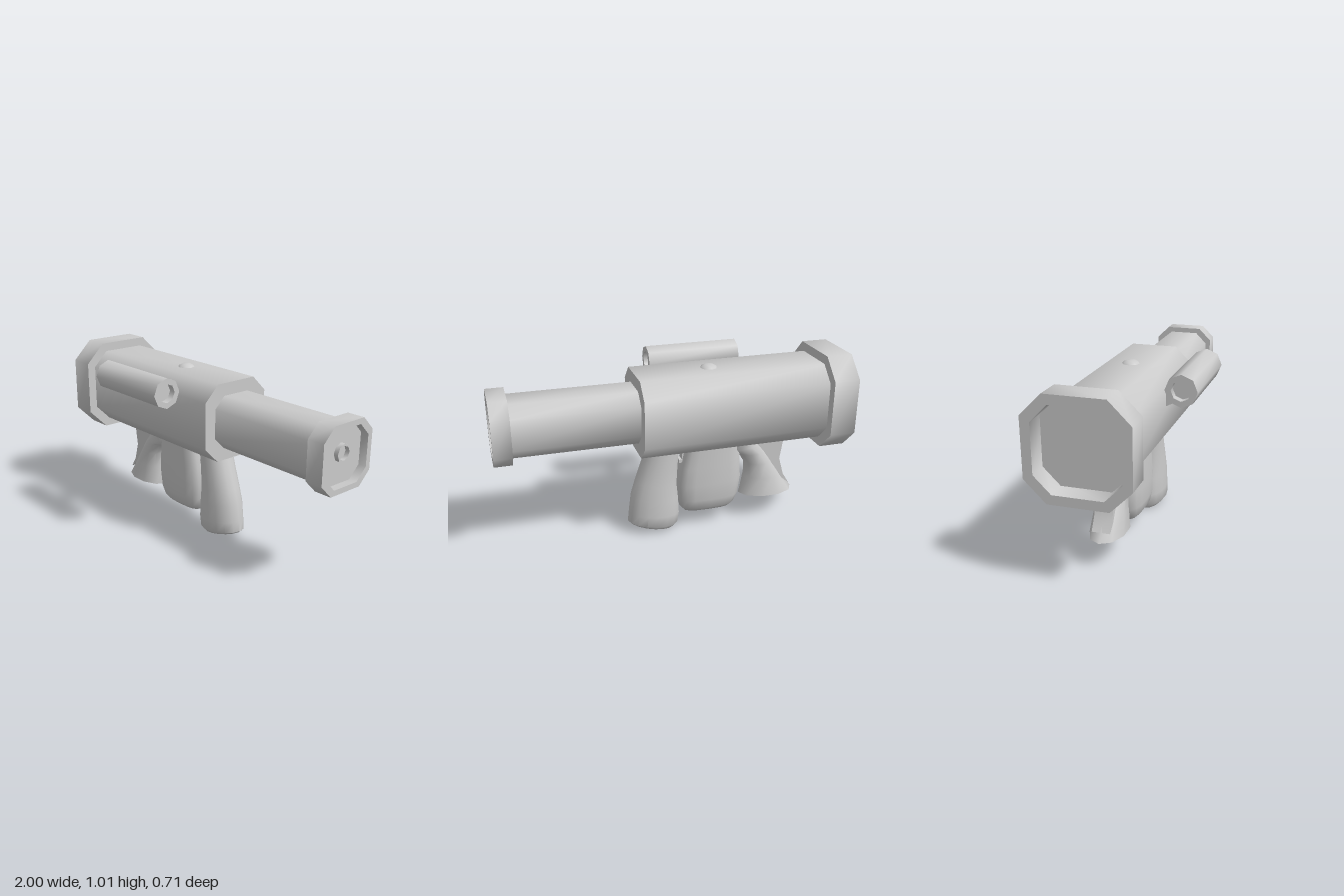
import * as THREE from 'three';
import { toCreasedNormals } from 'three/addons/utils/BufferGeometryUtils.js';

const AXIS_Y = 0.741, AXIS_Z = -0.083, CREASE = 0.9;
const material = new THREE.MeshStandardMaterial({ color: 0xcccccc });

// Chamfered square: half width h, half length of the flat sides f
const octagon = (h, f) => [[h, -f], [h, f], [f, h], [-f, h], [-h, f], [-h, -f], [-f, -h], [f, -h]]
  .map(([x, y]) => new THREE.Vector2(x, y));

// Regular eight-sided outline with corners on the axes
const round = (r) => Array.from({ length: 8 }, (_, i) =>
  new THREE.Vector2(r * Math.cos(i * Math.PI / 4), r * Math.sin(i * Math.PI / 4)));

// Outline (drawn in -z, y) extruded along x from x0 to x1
function extrudeX(outline, hole, x0, x1) {
  const shape = new THREE.Shape(outline);
  if (hole) shape.holes.push(new THREE.Path(hole));
  const geo = new THREE.ExtrudeGeometry(shape, { depth: x1 - x0, bevelEnabled: false });
  geo.rotateY(Math.PI / 2).translate(x0, 0, 0);
  return toCreasedNormals(geo, CREASE);
}

// Rings from bottom to top: [leftX, leftY, rightX, rightY, half depth]
function loft(rings, sides, power = 1) {
  const pos = [], index = [];
  const bend = (v) => Math.sign(v) * Math.pow(Math.abs(v), power);
  for (const [lx, ly, rx, ry, hz] of rings) {
    for (let j = 0; j < sides; j++) {
      const a = (j / sides) * Math.PI * 2;
      const c = bend(Math.cos(a)) / 2, s = bend(Math.sin(a));
      pos.push((lx + rx) / 2 + c * (rx - lx), (ly + ry) / 2 + c * (ry - ly), AXIS_Z + s * hz);
    }
  }
  for (let i = 0; i < rings.length - 1; i++) {
    for (let j = 0; j < sides; j++) {
      const a = i * sides + j, b = i * sides + (j + 1) % sides;
      index.push(a, a + sides, b, b, a + sides, b + sides);
    }
  }
  // End caps
  const top = (rings.length - 1) * sides;
  for (let j = 1; j < sides - 1; j++) {
    index.push(0, j, j + 1, top, top + j + 1, top + j);
  }
  const geo = new THREE.BufferGeometry();
  geo.setAttribute('position', new THREE.Float32BufferAttribute(pos, 3));
  geo.setIndex(index);
  return toCreasedNormals(geo, CREASE);
}

export function createModel() {
  const group = new THREE.Group();
  const add = (name, geo, x = 0, y = 0, z = 0) => {
    const mesh = new THREE.Mesh(geo, material);
    mesh.name = name;
    mesh.position.set(x, y, z);
    group.add(mesh);
  };

  // Tube sections, with recessed openings at both ends
  const body = octagon(0.221, 0.131), barrel = octagon(0.15, 0.085);
  add('rearCollar', extrudeX(octagon(0.272, 0.157), body, -1, -0.85), 0, AXIS_Y, AXIS_Z);
  add('body', extrudeX(body, null, -0.89, 0.215), 0, AXIS_Y, AXIS_Z);
  add('barrel', extrudeX(barrel, null, 0.2, 0.955), 0, AXIS_Y, AXIS_Z);
  add('muzzleCollar', extrudeX(octagon(0.18, 0.107), barrel, 0.9, 1), 0, AXIS_Y, AXIS_Z);
  add('nozzle', extrudeX(round(0.05), round(0.038), 0.95, 0.98), 0, 0.756, AXIS_Z);

  // Button on top
  const button = [[0.05, 0], [0.042, 0.01], [0.022, 0.02], [0, 0.02]].map(([x, y]) => new THREE.Vector2(x, y));
  add('topButton', new THREE.LatheGeometry(button, 8), -0.21, 0.96, AXIS_Z);

  // Side scope and its bracket
  add('scopeTube', extrudeX(round(0.085), round(0.053), -0.495, 0.055), 0, 0.918, 0.271);
  add('scopeLens', extrudeX(round(0.053), null, -0.455, 0.015), 0, 0.918, 0.271);
  const bracket = [[0.21, 0.915], [0.155, 0.853], [0.13, 0.838], [0.1, 0.75], [0.14, 0.767], [0.19, 0.793], [0.245, 0.85]]
    .map(([z, y]) => new THREE.Vector2(-z, y));
  add('scopeBracket', extrudeX(bracket, null, -0.294, -0.23));

  // Front grip, slanted with a rounded foot
  add('frontGrip', loft([
    [0.03, 0.012, 0.22, 0.05, 0.055],
    [-0.005, 0.006, 0.255, 0.058, 0.085],
    [-0.032, 0.035, 0.268, 0.07, 0.105],
    [-0.042, 0.1, 0.262, 0.13, 0.106],
    [-0.035, 0.2, 0.248, 0.23, 0.105],
    [-0.025, 0.29, 0.22, 0.32, 0.1],
    [-0.03, 0.4, 0.185, 0.42, 0.096],
    [-0.04, 0.55, 0.14, 0.55, 0.094],
  ], 16));

  // Middle block, a rounded box that bulges slightly
  add('middleBlock', loft([
    [-0.355, 0.102, -0.065, 0.102, 0.06],
    [-0.375, 0.125, -0.045, 0.125, 0.08],
    [-0.397, 0.18, -0.034, 0.18, 0.093],
    [-0.412, 0.29, -0.027, 0.27, 0.096],
    [-0.405, 0.42, -0.04, 0.38, 0.094],
    [-0.385, 0.55, -0.085, 0.55, 0.09],
  ], 16, 0.65));

  // Trigger in the gap behind the front grip
  add('trigger', new THREE.BoxGeometry(0.05, 0.02, 0.05), -0.06, 0.42, AXIS_Z);
  add('triggerStem', new THREE.BoxGeometry(0.025, 0.13, 0.04), -0.065, 0.48, AXIS_Z);

  // Rear grip, flaring to a flat foot
  add('rearGrip', loft([
    [-0.755, 0.155, -0.415, 0.155, 0.1],
    [-0.68, 0.26, -0.44, 0.27, 0.088],
    [-0.615, 0.36, -0.445, 0.355, 0.08],
    [-0.57, 0.43, -0.405, 0.42, 0.078],
    [-0.535, 0.48, -0.325, 0.455, 0.078],
    [-0.5, 0.55, -0.31, 0.55, 0.08],
  ], 10));

  // Web joining the rear grip to the body
  const web = new THREE.Shape([[-0.72, 0.2], [-0.6, 0.3], [-0.48, 0.53], [-0.675, 0.53], [-0.65, 0.37], [-0.68, 0.265]]
    .map(([x, y]) => new THREE.Vector2(x, y)));
  const webGeo = new THREE.ExtrudeGeometry(web, { depth: 0.1, bevelEnabled: false });
  add('rearWeb', toCreasedNormals(webGeo, CREASE), 0, 0, AXIS_Z - 0.05);

  return group;
}
